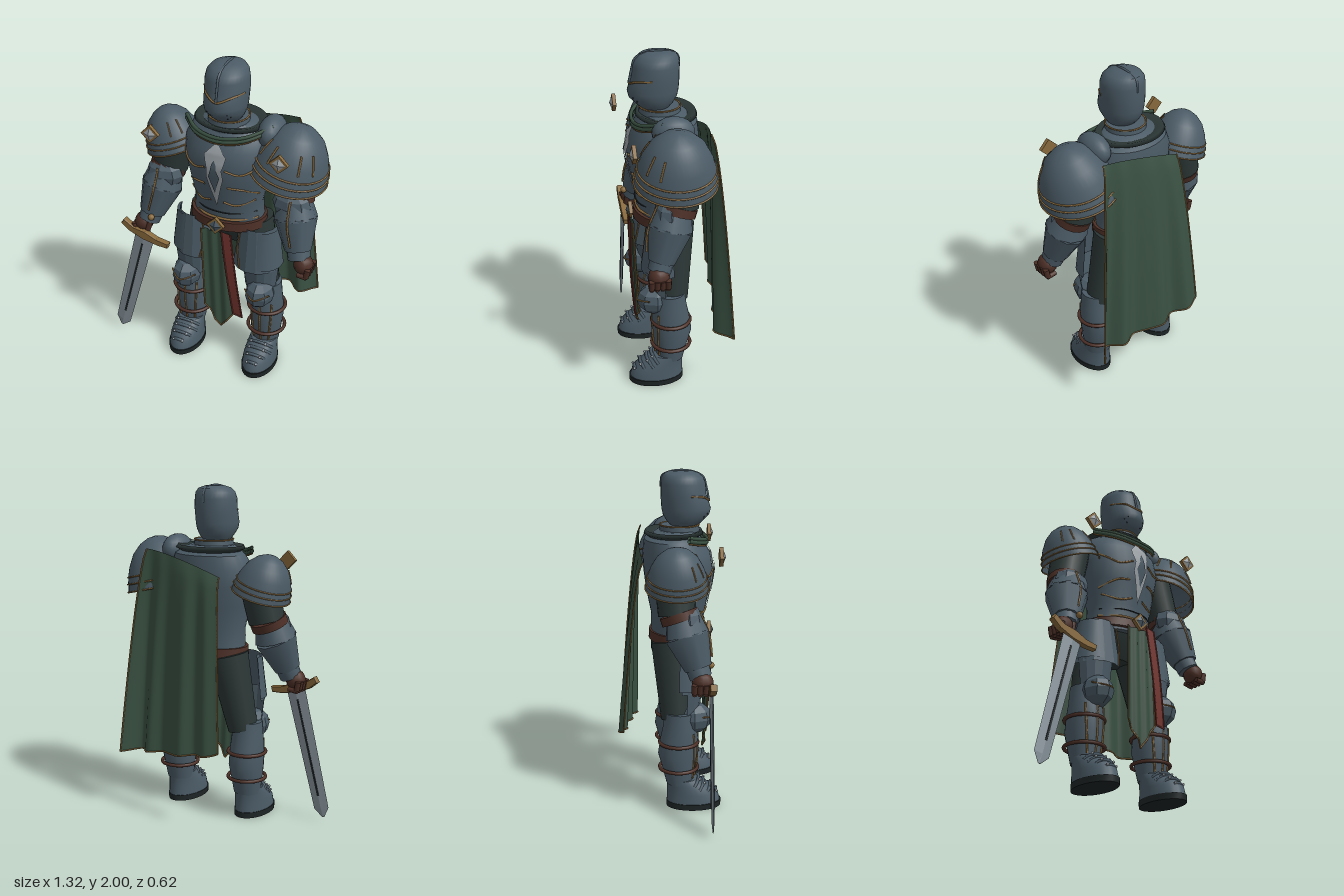
import * as THREE from 'three';
import { toCreasedNormals } from 'three/addons/utils/BufferGeometryUtils.js';

const paint = (name, color) => {
  const m = new THREE.MeshStandardMaterial({ color, side: THREE.DoubleSide });
  m.name = name;
  return m;
};
const steel = paint('steel', 0x4b5b66), cloth = paint('dark cloth', 0x2b3635);
const green = paint('green cloth', 0x3a5142), gold = paint('gold', 0x88693c);
const leather = paint('brown leather', 0x4c2f26), red = paint('red cloth', 0x74352f);
const blade = paint('blade', 0x87939b), black = paint('black', 0x1e2526), silver = paint('silver', 0x9aa1a6);

const V = (x, y, z) => new THREE.Vector3(x, y, z);
const mix = THREE.MathUtils.lerp;

function add(parent, name, geo, mat, x = 0, y = 0, z = 0) {
  const m = new THREE.Mesh(geo, mat);
  m.name = name;
  m.position.set(x, y, z);
  parent.add(m);
  return m;
}

// Closed body through rings [y, half width, front z, back z], bottom to top
function loft(rings, n = 32, crease = 0.7) {
  const pos = [], idx = [];
  for (const [y, rx, zf, zb] of rings)
    for (let i = 0; i < n; i++) {
      const a = (i / n) * Math.PI * 2;
      pos.push(rx * Math.sin(a), y, (zf + zb) / 2 + (zf - zb) / 2 * Math.cos(a));
    }
  const top = rings.length - 1;
  for (const r of [0, top]) pos.push(0, rings[r][0], (rings[r][2] + rings[r][3]) / 2);
  const c = rings.length * n;
  for (let i = 0; i < n; i++) {
    const j = (i + 1) % n;
    for (let r = 0; r < top; r++) {
      const a = r * n + i, b = r * n + j;
      idx.push(a, b, b + n, a, b + n, a + n);
    }
    idx.push(c, j, i, c + 1, top * n + i, top * n + j);
  }
  const g = new THREE.BufferGeometry();
  g.setAttribute('position', new THREE.Float32BufferAttribute(pos, 3));
  g.setIndex(idx);
  return toCreasedNormals(g, crease);
}

// Point on the front of a loft, raised by off
function onFront(rings, x, y, off = 0.003) {
  let i = 0;
  while (i < rings.length - 2 && rings[i + 1][0] < y) i++;
  const a = rings[i], b = rings[i + 1], t = THREE.MathUtils.clamp((y - a[0]) / (b[0] - a[0]), 0, 1);
  const [rx, zf, zb] = [1, 2, 3].map(k => mix(a[k], b[k], t));
  return V(x, y, (zf + zb) / 2 + (zf - zb) / 2 * Math.sqrt(Math.max(0, 1 - (x / rx) ** 2)) + off);
}
const tube = (pts, r) => new THREE.TubeGeometry(new THREE.CatmullRomCurve3(pts), pts.length * 6, r, 6);
const trim = (rings, pts, r = 0.006) => tube(pts.map(p => onFront(rings, p[0], p[1])), r);

// Thin symmetric inlay from rows [y, half width] laid on a loft
function inlay(rings, rows, off) {
  const pos = [], idx = [];
  rows.forEach(([y, w], r) => {
    for (const k of [-1, 0, 1]) pos.push(...onFront(rings, k * w, y, off).toArray());
    if (r) for (const k of [0, 1]) {
      const a = r * 3 + k;
      idx.push(a, a + 1, a - 2, a, a - 2, a - 3);
    }
  });
  const g = new THREE.BufferGeometry();
  g.setAttribute('position', new THREE.Float32BufferAttribute(pos, 3));
  g.setIndex(idx);
  g.computeVertexNormals();
  return g;
}

// Tapered cylinder between two points
function rod(parent, name, a, b, ra, rb, mat, sides = 18) {
  const m = add(parent, name, new THREE.CylinderGeometry(rb, ra, a.distanceTo(b), sides), mat);
  m.position.copy(a).lerp(b, 0.5);
  m.quaternion.setFromUnitVectors(V(0, 1, 0), b.clone().sub(a).normalize());
}
function ball(parent, name, x, y, z, rx, ry, rz, mat, w = 18, h = 12) {
  const m = add(parent, name, new THREE.SphereGeometry(1, w, h), mat, x, y, z);
  m.scale.set(rx, ry, rz);
  return m;
}

// Gold diamond frame with a faceted stone
function badge(parent, name, x, y, z, r, stoneMat) {
  const g = new THREE.Group();
  g.name = name;
  g.position.set(x, y, z);
  add(g, 'frame', new THREE.BoxGeometry(r * 1.4, r * 1.4, 0.022), gold).rotation.z = Math.PI / 4;
  const stone = add(g, 'stone', toCreasedNormals(new THREE.ConeGeometry(r * 0.7, 0.016, 4), 0.1), stoneMat, 0, 0, 0.019);
  stone.rotation.x = Math.PI / 2;
  parent.add(g);
}

const TORSO = [[0.98, 0.22, 0.21, -0.1], [1.06, 0.215, 0.21, -0.1], [1.15, 0.21, 0.22, -0.1], [1.3, 0.24, 0.25, -0.13],
  [1.42, 0.265, 0.268, -0.145], [1.52, 0.262, 0.25, -0.15], [1.6, 0.225, 0.2, -0.14], [1.65, 0.14, 0.17, -0.06]];
const HELM = [[1.665, 0.075, 0.165, 0.03], [1.7, 0.1, 0.205, -0.005], [1.74, 0.117, 0.245, -0.028], [1.775, 0.122, 0.254, -0.036], [1.83, 0.124, 0.237, -0.04],
  [1.86, 0.125, 0.226, -0.041], [1.92, 0.123, 0.222, -0.041], [1.955, 0.115, 0.208, -0.038], [1.98, 0.093, 0.18, -0.024], [1.994, 0.05, 0.14, 0.015]];
const BOOT = [[0.035, 0.1, 0.305, -0.018], [0.09, 0.097, 0.29, -0.015], [0.14, 0.09, 0.235, -0.015], [0.18, 0.085, 0.17, -0.02]];
const SHIN = [[0.15, 0.082, 0.14, -0.02], [0.25, 0.095, 0.155, -0.045], [0.34, 0.102, 0.165, -0.07], [0.44, 0.1, 0.17, -0.055], [0.51, 0.094, 0.16, -0.04], [0.6, 0.088, 0.15, -0.03]];

function buildTorso(g) {
  add(g, 'breastplate', loft(TORSO), steel);
  add(g, 'pelvis', loft([[0.84, 0.1, 0.1, -0.06], [0.92, 0.19, 0.15, -0.1], [1.0, 0.21, 0.18, -0.1]]), cloth);
  add(g, 'belt', loft([[0.995, 0.236, 0.235, -0.115], [1.05, 0.232, 0.23, -0.112]]), leather);
  badge(g, 'buckle', 0, 1.035, 0.25, 0.055, steel);
  add(g, 'chestEmblem', inlay(TORSO, [[1.57, 0.004], [1.52, 0.05], [1.5, 0.067], [1.46, 0.058], [1.42, 0.046], [1.36, 0.052], [1.3, 0.036], [1.16, 0]], 0.009), silver);
  add(g, 'emblemCore', inlay(TORSO, [[1.48, 0], [1.45, 0.014], [1.42, 0.018], [1.37, 0.034], [1.31, 0.014], [1.26, 0]], 0.015), steel);
  add(g, 'waistSeam', trim(TORSO, [-0.2, -0.1, 0, 0.1, 0.2].map(x => [x, 1.11]), 0.004), black);
  add(g, 'fauldTrim', trim(TORSO, [-0.205, -0.1, 0, 0.1, 0.205].map(x => [x, 1.065]), 0.008), gold);
  for (const s of [-1, 1]) {
    add(g, 'pectoralTrim', trim(TORSO, [[s * 0.255, 1.48], [s * 0.2, 1.42], [s * 0.14, 1.395], [s * 0.06, 1.42]]), gold);
    add(g, 'ribTrim', trim(TORSO, [[s * 0.215, 1.24], [s * 0.14, 1.29], [s * 0.07, 1.3]]), gold);
    add(g, 'abdomenTrim', trim(TORSO, [[s * 0.2, 1.2], [s * 0.11, 1.17], [s * 0.04, 1.19]]), gold);
  }
  // Gorget, neck and scarf
  const collarShape = [[0.16, 1.6], [0.22, 1.632], [0.208, 1.652], [0.15, 1.635]].map(p => new THREE.Vector2(...p));
  add(g, 'collar', new THREE.LatheGeometry(collarShape, 32), cloth, 0, 0, 0.035).scale.z = 0.8;
  add(g, 'neckGuard', new THREE.CylinderGeometry(0.115, 0.125, 0.08, 28), steel, 0, 1.64, 0.07);
  add(g, 'neckRim', new THREE.TorusGeometry(0.116, 0.005, 6, 32), gold, 0, 1.68, 0.07).rotation.x = Math.PI / 2;
  [[0, green, 0.013], [0.02, green, 0.011], [-0.016, gold, 0.005]].forEach(([d, mat, r]) =>
    add(g, 'scarf', tube([V(-0.245, 1.62 + d, 0.11), V(-0.14, 1.592 + d, 0.2), V(0, 1.58 + d, 0.23), V(0.14, 1.597 + d, 0.2), V(0.28, 1.65 + d, 0.1)], r), mat));
}

function buildHelmet(g) {
  add(g, 'helmet', loft(HELM), steel);
  add(g, 'browTrim', trim(HELM, [[-0.121, 1.857], [-0.07, 1.845], [0, 1.82], [0.07, 1.845], [0.121, 1.857]]), gold);
  add(g, 'crest', tube([onFront(HELM, 0, 1.82), onFront(HELM, 0, 1.9), onFront(HELM, 0, 1.96), V(0, 1.992, 0.13), V(0, 1.992, 0.03), V(0, 1.965, -0.032), V(0, 1.9, -0.04)], 0.007), steel);
  for (const s of [-1, 1]) for (const [x, y] of [[0.06, 1.75], [0.075, 1.735], [0.055, 1.72]]) {
    const p = onFront(HELM, s * x, y, 0);
    ball(g, 'breathHole', p.x, p.y, p.z, 0.004, 0.004, 0.004, black, 8, 6);
  }
}

function buildPauldron(g, s) {
  const k = s > 0 ? 0.95 : 0.73, p = new THREE.Group();
  p.name = s > 0 ? 'leftPauldron' : 'rightPauldron';
  p.position.set(s * 0.37, 1.425, s > 0 ? 0.045 : 0.035);
  p.rotation.z = -s * (s > 0 ? 0.23 : 0.3);
  p.scale.set(k, k, k * 1.03);
  g.add(p);
  const prof = [[0.238, -0.06], [0.226, -0.01], [0.232, -0.01], [0.218, 0.035], [0.222, 0.035], [0.2, 0.1], [0.16, 0.178], [0.105, 0.233], [0.05, 0.262], [0, 0.27]];
  add(p, 'shell', toCreasedNormals(new THREE.LatheGeometry(prof.map(q => new THREE.Vector2(...q)), 36), 0.7), steel);
  for (const [r, y] of [[0.238, -0.06], [0.232, -0.01], [0.222, 0.035]])
    add(p, 'rimTrim', new THREE.TorusGeometry(r, 0.006, 6, 40), gold, 0, y).rotation.x = Math.PI / 2;
  for (const a of [-0.9, -0.45, 0.5, 0.95])
    add(p, 'rib', tube([[0.21, 0.075], [0.184, 0.135], [0.158, 0.183]].map(([r, y]) => V(r * Math.sin(a), y, r * Math.cos(a))), 0.006), gold);
  badge(g, 'shoulderBadge', s * 0.39, 1.56, 0.28, 0.056, silver);
}

function buildArm(g, s) {
  const elbow = V(s * 0.4, 1.23, 0.035), wrist = V(s * 0.475, 0.94, 0.15);
  rod(g, 'upperArm', V(s * 0.34, 1.5, 0.015), elbow, 0.115, 0.108, cloth);
  rod(g, 'elbowStrap', V(s * 0.402, 1.245, 0.04), V(s * 0.412, 1.2, 0.055), 0.11, 0.11, leather);
  rod(g, 'vambrace', V(s * 0.43, 1.12, 0.09), wrist, 0.126, 0.078, steel, 10);
  rod(g, 'vambraceCuff', V(s * 0.412, 1.21, 0.07), V(s * 0.43, 1.12, 0.09), 0.102, 0.126, steel, 10);
  // Faceted guard rising in front of the elbow
  const guard = ball(g, 'elbowPlate', s * 0.405, 1.205, 0.1, 0.118, 0.09, 0.08, steel, 8, 6);
  guard.geometry = toCreasedNormals(guard.geometry, 0.3);
  add(g, 'vambraceTrim', tube([V(s * 0.42, 1.26, 0.16), V(s * 0.42, 1.2, 0.186), V(s * 0.428, 1.12, 0.216), V(s * 0.455, 1.0, 0.23)], 0.006), gold);
  rod(g, 'wristCuff', V(s * 0.47, 0.96, 0.14), V(s * 0.49, 0.89, 0.165), 0.07, 0.066, steel, 12);
  // Gloved fist
  ball(g, 'palm', s * 0.52, 0.87, 0.172, 0.058, 0.062, 0.062, leather, 12, 8);
  for (let i = 0; i < 4; i++) {
    const z = 0.125 + i * 0.031;
    rod(g, 'finger', V(s * 0.565, 0.87, z), V(s * 0.555, 0.815, z), 0.018, 0.017, leather, 8);
    rod(g, 'fingertip', V(s * 0.56, 0.812, z), V(s * 0.5, 0.818, z), 0.016, 0.015, leather, 8);
  }
}

function buildLeg(g, s) {
  rod(g, 'thigh', V(s * 0.235, 0.55, 0.04), V(s * 0.135, 1.0, 0.02), 0.09, 0.125, cloth);
  const plate = (name, x, y, z, rt, rb, h, mid, len) =>
    add(g, name, toCreasedNormals(new THREE.CylinderGeometry(rt, rb, h, 6, 1, true, s * mid - len / 2, len), 0.4), steel, s * x, y, z);
  plate('tasset', 0.195, 0.87, 0.07, 0.115, 0.15, 0.28, 0.3, 2.6);
  plate('hipPlate', 0.225, 0.875, 0.08, 0.1, 0.13, 0.25, 0.95, 1.7);
  plate('thighGuard', 0.225, 0.68, 0.075, 0.125, 0.1, 0.22, 0.1, 2.5);
  add(g, 'tassetTrim', tube([V(s * 0.125, 1.0, 0.172), V(s * 0.11, 0.87, 0.184), V(s * 0.13, 0.735, 0.205)], 0.005), gold);
  // Knee cop
  const knee = ball(g, 'kneeCop', s * 0.245, 0.56, 0.145, 0.09, 0.095, 0.112, steel, 8, 6);
  knee.geometry = toCreasedNormals(knee.geometry, 0.3);
  add(g, 'kneeTrim', tube([V(s * 0.165, 0.585, 0.195), V(s * 0.245, 0.565, 0.257), V(s * 0.325, 0.585, 0.195)], 0.005), gold);
  // Lower leg and boot
  const f = new THREE.Group();
  f.name = s > 0 ? 'leftLowerLeg' : 'rightLowerLeg';
  f.position.x = s * 0.255;
  g.add(f);
  add(f, 'greave', loft(SHIN, 24), steel);
  for (const x of [-0.06, 0, 0.06])
    add(f, 'greaveTrim', trim(SHIN, [[x * 0.8, 0.19], [x, 0.32], [x * 1.1, 0.48]]), gold);
  for (const y of [0.25, 0.41])
    add(f, 'strap', new THREE.TorusGeometry(0.114, 0.011, 8, 32), leather, 0, y, 0.054).rotation.x = Math.PI / 2;
  add(f, 'sole', loft([[0, 0.102, 0.31, -0.02], [0.036, 0.104, 0.312, -0.02]]), black);
  add(f, 'boot', loft(BOOT, 28), steel);
  for (const [z, y, w] of [[0.28, 0.1, 0.05], [0.245, 0.135, 0.07], [0.205, 0.16, 0.08], [0.175, 0.185, 0.08]]) {
    add(f, 'toeLame', tube([V(-w, y - 0.04, z - 0.03), V(-w * 0.6, y - 0.01, z - 0.008), V(0, y, z), V(w * 0.6, y - 0.01, z - 0.008), V(w, y - 0.04, z - 0.03)], 0.01), steel);
    for (const k of [-0.6, 0.6]) ball(f, 'rivet', w * k, y - 0.003, z + 0.004, 0.008, 0.008, 0.008, silver, 8, 6);
  }
}

// Hanging sheet: at(u, v) gives the point, u left to right, v top to bottom
function sheet(g, name, at, mat, hem, nu, nv) {
  const geo = new THREE.PlaneGeometry(1, 1, nu, nv), p = geo.attributes.position;
  for (let i = 0; i < p.count; i++) p.setXYZ(i, ...at(p.getX(i) + 0.5, 0.5 - p.getY(i)).toArray());
  geo.computeVertexNormals();
  add(g, name, geo, mat);
  const edge = f => Array.from({ length: 25 }, (_, i) => f(i / 24));
  for (const pts of [edge(t => at(0, t)), edge(t => at(t, 1)), edge(t => at(1, t))])
    add(g, name + 'Hem', tube(pts, 0.005), hem);
}

function buildCloth(g) {
  // Uneven folds along the lower hem of the cape
  const folds = new THREE.SplineCurve([-0.275, -0.305, -0.25, -0.29, -0.255, -0.215, -0.25, -0.18, -0.285].map((z, i) => new THREE.Vector2(i, z)));
  sheet(g, 'cape', (u, v) => V(
    mix(mix(-0.19, 0.335, u), mix(-0.27, 0.465, u), v ** 0.85),
    mix(1.62 - 0.13 * (1 - u) ** 1.6, mix(0.48, 0.36, u ** 0.7), v),
    mix(-0.152 - 0.02 * Math.sin(u * Math.PI), folds.getPoint(u).y, v ** 0.6)), green, gold, 60, 24);
  sheet(g, 'tabard', (u, v) => V(
    (u - 0.5) * mix(0.19, 0.21, v) + 0.02 * v,
    0.99 - v * (0.57 + 0.15 * (1 - Math.abs(2 * u - 1))),
    0.245 - 0.02 * v + 0.008 * Math.cos(u * 18)), green, gold, 20, 12);
  sheet(g, 'redSash', (u, v) => V(0.04 + 0.06 * u + 0.075 * v, 1.01 - 0.59 * v - 0.01 * u, 0.262 - 0.012 * v + 0.012 * Math.sin(v * 3)), red, red, 2, 10);
}

function buildSword(g) {
  const w = new THREE.Group();
  w.name = 'sword';
  w.position.set(-0.49, 0.805, 0.225);
  w.rotation.z = -0.262;
  g.add(w);
  add(w, 'blade', loft([[-0.805, 0.008, 0.003, -0.003], [-0.75, 0.05, 0.008, -0.008], [0, 0.064, 0.011, -0.011]], 4, 0.1), blade);
  add(w, 'fuller', new THREE.BoxGeometry(0.012, 0.6, 0.023), black, 0, -0.37, 0);
  const outline = [[-0.15, 0.036], [-0.16, 0.005], [-0.1, -0.022], [0, -0.034], [0.1, -0.026], [0.16, -0.012], [0.16, 0.016], [0.08, 0.008], [0, 0.02], [-0.08, 0.012]];
  const shape = new THREE.Shape(outline.map(p => new THREE.Vector2(...p)));
  add(w, 'crossguard', new THREE.ExtrudeGeometry(shape, { depth: 0.026, bevelSize: 0.004, bevelThickness: 0.006, bevelSegments: 1 }), gold, 0, 0.01, -0.013);
  rod(w, 'grip', V(0, 0.02, -0.02), V(0, 0.12, -0.03), 0.018, 0.017, leather, 10);
  ball(w, 'pommel', 0.01, 0.15, 0, 0.02, 0.02, 0.02, gold, 10, 8);
}

export function createModel() {
  const model = new THREE.Group(), body = new THREE.Group();
  model.name = 'armouredKnight';
  body.name = 'body';
  body.position.x = 0.065;
  model.add(body);
  buildTorso(body);
  buildHelmet(body);
  for (const s of [-1, 1]) {
    buildPauldron(body, s);
    buildArm(body, s);
    buildLeg(body, s);
  }
  ball(body, 'raisedShoulderPlate', 0.25, 1.61, 0.04, 0.075, 0.09, 0.12, steel);
  buildCloth(body);
  buildSword(body);
  return model;
}
